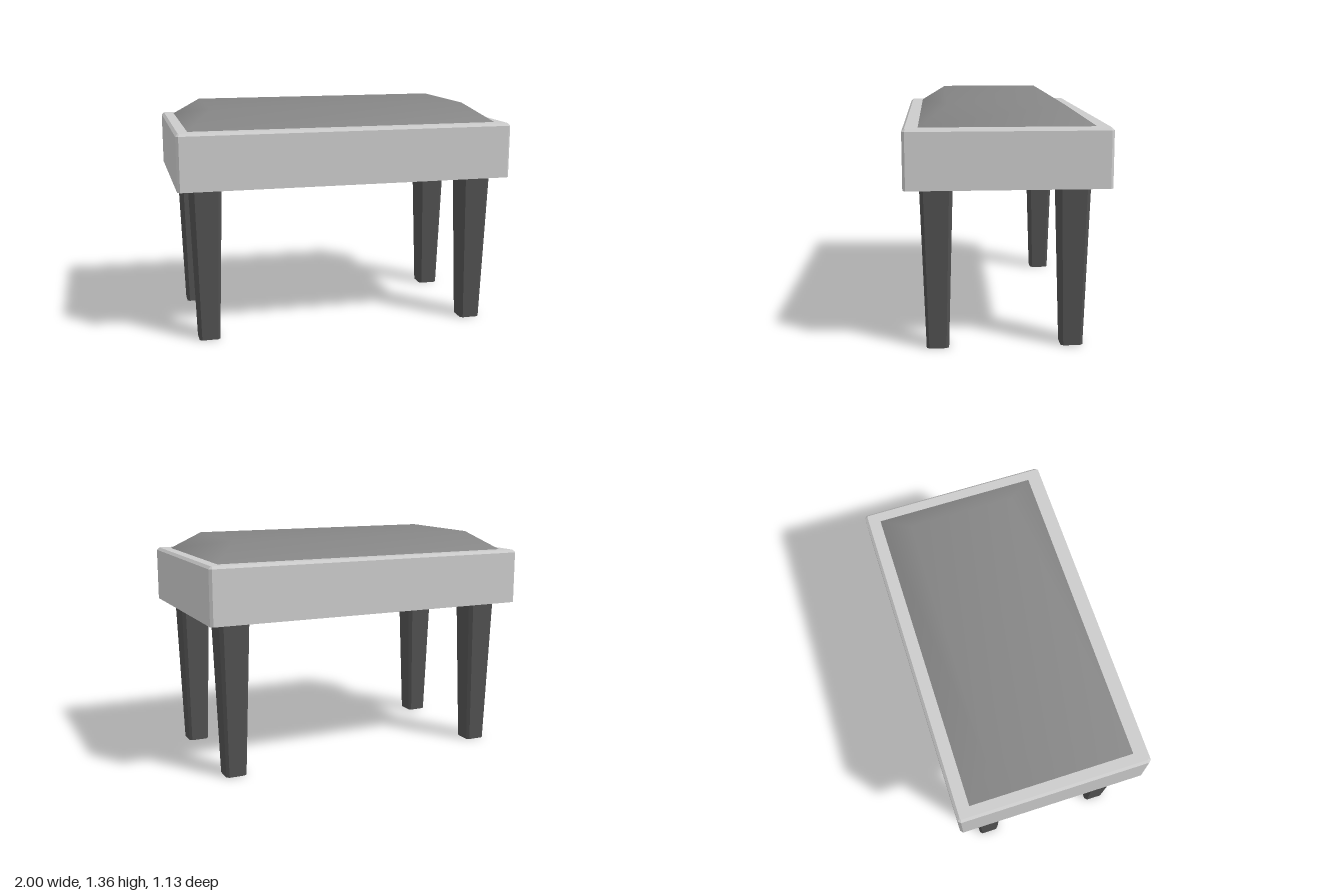
import * as THREE from 'three';

// Rectangle outline with chamfered corners, counterclockwise seen from above
function outline([y, hx, hz, c = 0]) {
  if (!c) return [[hx, y, hz], [hx, y, -hz], [-hx, y, -hz], [-hx, y, hz]];
  return [
    [hx - c, y, hz], [hx, y, hz - c], [hx, y, -hz + c], [hx - c, y, -hz],
    [-hx + c, y, -hz], [-hx, y, -hz + c], [-hx, y, hz - c], [-hx + c, y, hz],
  ];
}

// Closed solid through a stack of outlines, from bottom to top
function loft(sections, smooth = false, closeBottom = true) {
  const rings = sections.map(outline);
  const n = rings[0].length;
  const last = (rings.length - 1) * n;
  const index = [];
  for (let r = 0; r < rings.length - 1; r++) {
    for (let i = 0; i < n; i++) {
      const a = r * n + i, b = r * n + (i + 1) % n;
      index.push(a, b, b + n, a, b + n, a + n);
    }
  }
  for (let i = 1; i < n - 1; i++) {
    index.push(last, last + i, last + i + 1);
    if (closeBottom) index.push(0, i + 1, i);
  }
  let geometry = new THREE.BufferGeometry();
  geometry.setAttribute('position', new THREE.Float32BufferAttribute(rings.flat(2), 3));
  geometry.setIndex(index);
  if (!smooth) geometry = geometry.toNonIndexed();
  geometry.computeVertexNormals();
  return geometry;
}

export function createModel() {
  const group = new THREE.Group();
  const add = (name, geometry, color) => {
    const mesh = new THREE.Mesh(geometry, new THREE.MeshStandardMaterial({ color }));
    mesh.name = name;
    group.add(mesh);
    return mesh;
  };

  // Seat box with bevelled upright corners and top edge
  add('seatBox', loft([
    [0.92, 1, 0.565, 0.015],
    [1.235, 1, 0.565, 0.015],
    [1.25, 0.985, 0.55, 0.006],
  ]), 0xcccccc);

  // Softly shaded cushion with sloping sides
  add('cushion', loft([
    [1.25, 0.927, 0.48],
    [1.357, 0.775, 0.32],
  ], true, false), 0x858585);

  // Four tapered legs with chamfered corners
  const legGeometry = loft([
    [0, 0.062, 0.063, 0.015],
    [0.92, 0.09, 0.091, 0.02],
  ]);
  for (const [side, x] of [['Left', 0.825], ['Right', -0.83]]) {
    for (const [end, z] of [['front', 0.388], ['back', -0.369]]) {
      add(`${end}${side}Leg`, legGeometry, 0x515151).position.set(x, 0, z);
    }
  }

  return group;
}
